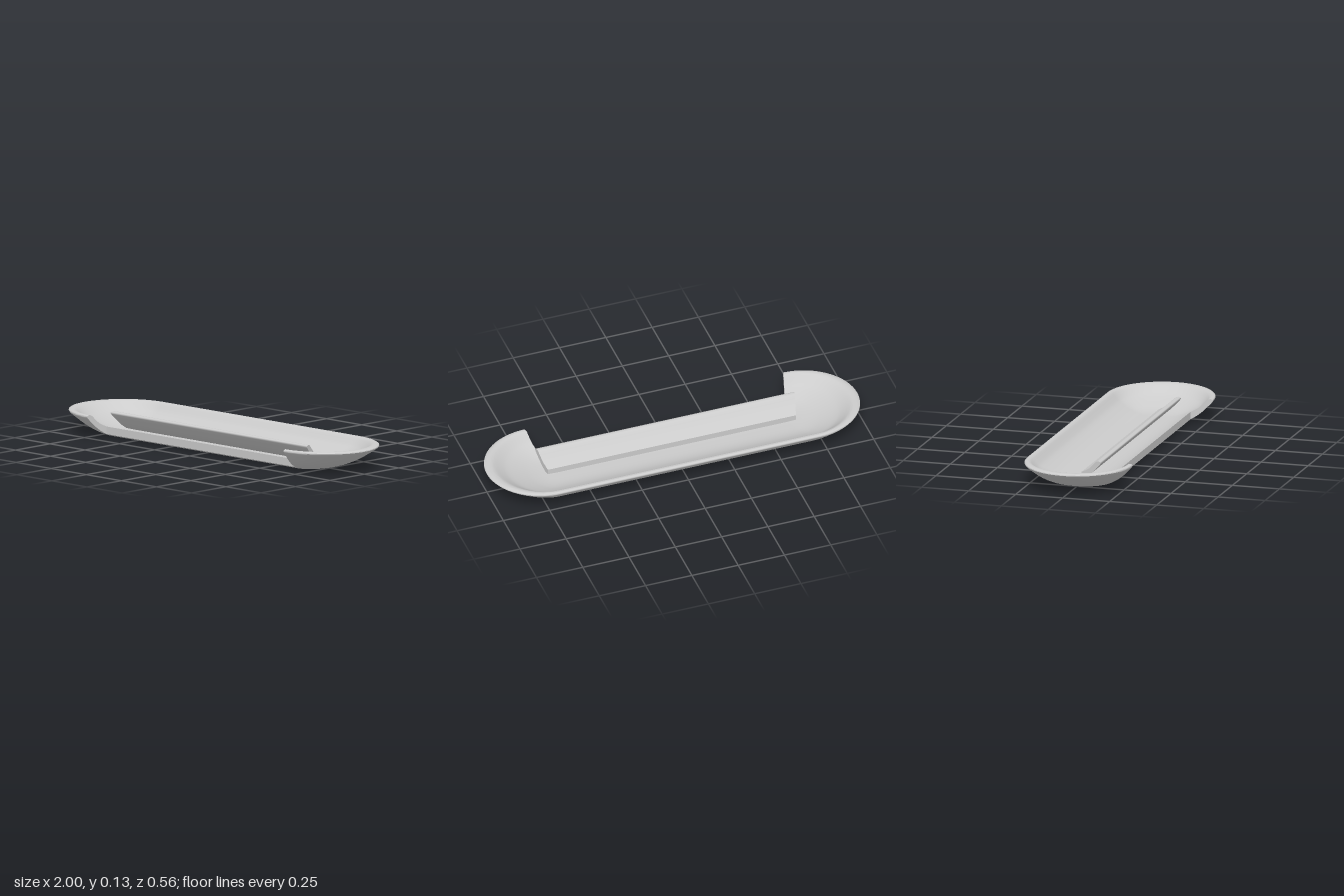
import * as THREE from 'three';
import { toCreasedNormals } from 'three/addons/utils/BufferGeometryUtils.js';

const HALF_WIDTH = 0.28;   // z half size of the rim
const STRAIGHT = 0.7;      // half length of the straight sides
const STEPS = 14;

// Smooth run of (inset from rim, height) points.
const run = (pts, n = STEPS) =>
  new THREE.SplineCurve(pts.map(([t, y]) => new THREE.Vector2(t, y))).getPoints(n);

// Shell section: underside, outer wall, inner wall and inside floor.
const underside = run([[0.28, 0], [0.2, 0], [0.17, 0.001], [0.14, 0.006], [0.11, 0.018]]);
const outerWall = run([[0.11, 0.018], [0.08, 0.036], [0.05, 0.06], [0.025, 0.085], [0.008, 0.103],
  [0, 0.115], [0.003, 0.122], [0.012, 0.125]]);
const innerWall = run([[0.012, 0.125], [0.022, 0.123], [0.032, 0.115], [0.048, 0.098],
  [0.07, 0.078], [0.11, 0.057]]);
const insideFloor = run([[0.11, 0.057], [0.15, 0.041], [0.2, 0.031], [0.28, 0.027]]);

// Point of the shell at a station (side, angle) and a section point.
function place({ side, angle }, { x: inset, y }) {
  const radius = 0.3 * Math.pow(Math.max(0, 1 - inset / HALF_WIDTH), 1.5);
  return new THREE.Vector3(
    side * (STRAIGHT - 0.27 * inset) + radius * Math.cos(angle),
    y,
    (HALF_WIDTH - inset) * Math.sin(angle));
}

function quad(out, a, b, c, d) {
  for (const p of [a, b, c, a, c, d]) out.push(p.x, p.y, p.z);
}

// Sweep a section along consecutive stations.
function sweep(out, stations, section) {
  for (let j = 0; j < stations.length - 1; j++) {
    for (let i = 0; i < section.length - 1; i++) {
      const [s, e] = [stations[j], stations[j + 1]];
      quad(out, place(s, section[i]), place(e, section[i]),
        place(e, section[i + 1]), place(s, section[i + 1]));
    }
  }
}

// Flat broken end of the wall, facing +x or -x.
function endCap(out, station, facing) {
  const inner = [...innerWall].reverse();
  for (let i = 0; i < STEPS; i++) {
    const c = [outerWall[i], outerWall[i + 1], inner[i + 1], inner[i]].map((p) => place(station, p));
    if (facing > 0) c.reverse();
    quad(out, ...c);
  }
}

function makeMesh(name, positions) {
  const raw = new THREE.BufferGeometry();
  raw.setAttribute('position', new THREE.Float32BufferAttribute(positions, 3));
  const mesh = new THREE.Mesh(toCreasedNormals(raw, 0.7),
    new THREE.MeshStandardMaterial({ color: 0xcccccc, side: THREE.DoubleSide }));
  mesh.name = name;
  return mesh;
}

export function createModel() {
  const group = new THREE.Group();
  group.name = 'brokenTray';

  // Stations run from the front right corner round the back to the front left.
  const stations = [];
  const arc = 40;
  for (const side of [1, -1]) {
    for (let i = 0; i <= arc; i++) {
      const start = side > 0 ? Math.PI / 2 : -Math.PI / 2;
      stations.push({ side, angle: start - Math.PI * i / arc });
    }
  }
  const frontRight = stations[0];
  const frontLeft = stations[stations.length - 1];

  // Tray: full section round the back and ends, floor only along the open front.
  const tray = [];
  sweep(tray, stations,
    [...underside, ...outerWall.slice(1), ...innerWall.slice(1), ...insideFloor.slice(1)]);
  sweep(tray, [frontLeft, frontRight], [...underside, ...insideFloor]);
  endCap(tray, frontRight, -1);
  endCap(tray, frontLeft, 1);
  group.add(makeMesh('tray', tray));

  // Loose front wall, resting inside the tray.
  const wall = [];
  sweep(wall, [frontLeft, frontRight], [...outerWall, ...innerWall.slice(1), outerWall[0]]);
  endCap(wall, frontRight, 1);
  endCap(wall, frontLeft, -1);
  const loose = makeMesh('looseFrontWall', wall);
  loose.position.z = -0.17;
  group.add(loose);

  return group;
}
